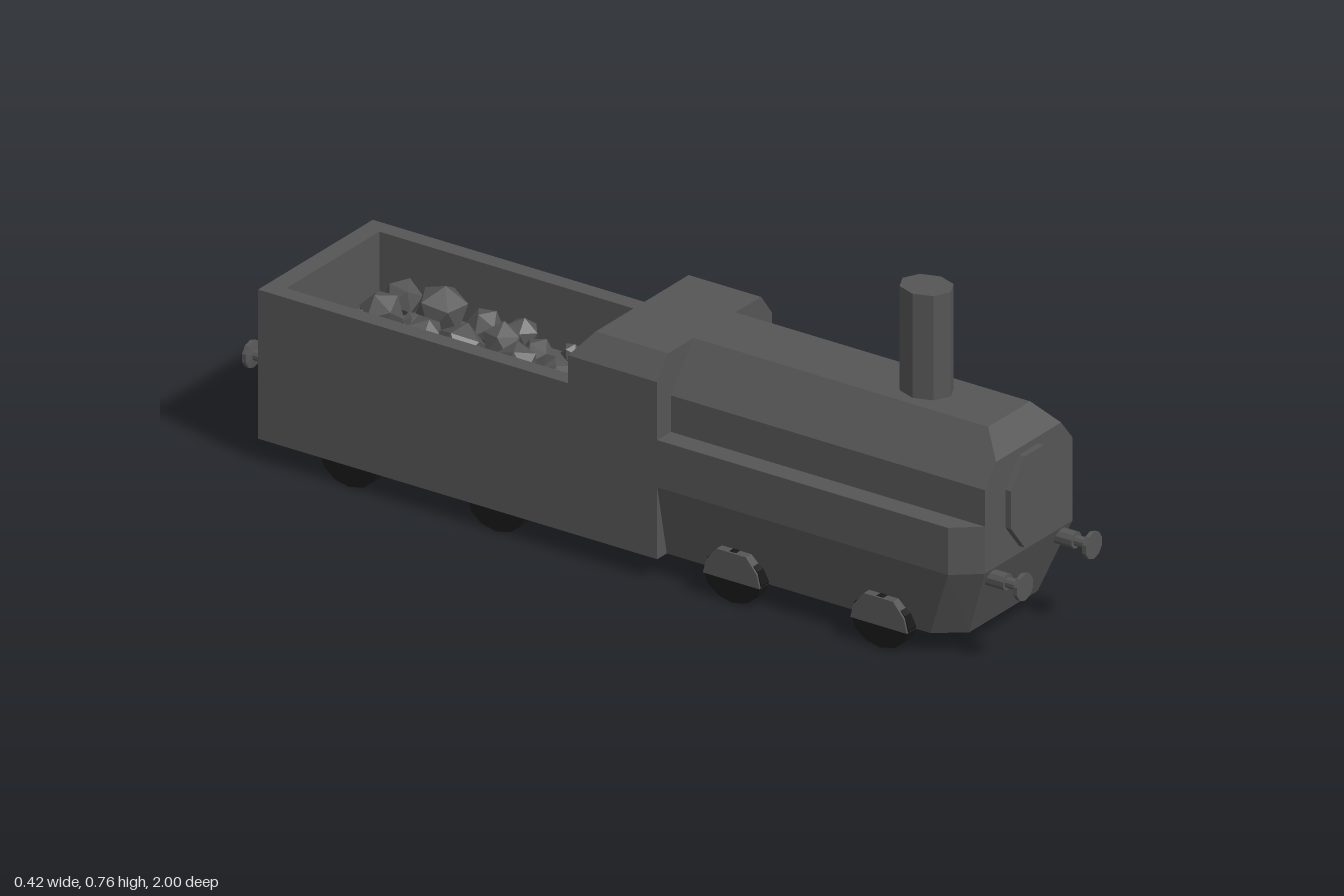
import * as THREE from 'three';
import { ConvexGeometry } from 'three/addons/geometries/ConvexGeometry.js';

const bodyMat = new THREE.MeshStandardMaterial({ color: 0x555555, flatShading: true });
const wheelMat = new THREE.MeshStandardMaterial({ color: 0x181818, flatShading: true });

function add(parent, name, geometry, x = 0, y = 0, z = 0, material = bodyMat) {
  const mesh = new THREE.Mesh(geometry, material);
  mesh.name = name;
  mesh.position.set(x, y, z);
  parent.add(mesh);
  return mesh;
}

// Faceted solid, symmetric in x, from its +x corners
function mirroredHull(corners) {
  const points = [];
  for (const [x, y, z] of corners) {
    points.push(new THREE.Vector3(x, y, z), new THREE.Vector3(-x, y, z));
  }
  return new ConvexGeometry(points);
}

// Box given by its minimum and maximum corners
function span(parent, name, [x0, y0, z0], [x1, y1, z1]) {
  return add(parent, name, new THREE.BoxGeometry(x1 - x0, y1 - y0, z1 - z0),
    (x0 + x1) / 2, (y0 + y1) / 2, (z0 + z1) / 2);
}

// Buffer: stepped shaft with a round plate at its outer end
function buffer(parent, name, x, dir) {
  const profile = [[0, -0.03], [0.019, -0.03], [0.019, 0.035], [0.012, 0.035], [0.012, 0.066],
    [0.031, 0.07], [0.031, 0.08], [0, 0.08]].map(([r, y]) => new THREE.Vector2(r, y));
  const mesh = add(parent, name, new THREE.LatheGeometry(profile, 10), x, 0.197, 0.92 * dir);
  mesh.rotation.x = dir * Math.PI / 2;
}

export function createModel() {
  const model = new THREE.Group();
  model.name = 'steamLocomotive';

  // Engine underbody: upright sides, tapering below, with cut front corners
  add(model, 'engineBase', mirroredHull([
    [0.21, 0.33, 0.11], [0.21, 0.33, 0.86], [0.16, 0.33, 0.92],
    [0.21, 0.22, 0.11], [0.21, 0.22, 0.86], [0.16, 0.22, 0.92],
    [0.175, 0.052, 0.11], [0.175, 0.052, 0.79], [0.125, 0.052, 0.855],
  ]));

  // Boiler with a sloped upper nose
  add(model, 'boiler', mirroredHull([
    [0.077, 0.517, 0.1], [0.16, 0.415, 0.1], [0.16, 0.32, 0.1],
    [0.077, 0.517, 0.87], [0.119, 0.465, 0.92], [0.16, 0.415, 0.92], [0.16, 0.32, 0.92],
  ]));

  // Octagonal boiler door
  const door = add(model, 'boilerDoor', new THREE.CylinderGeometry(1, 1, 0.03, 8), 0, 0.343, 0.92);
  door.geometry.rotateY(Math.PI / 8).rotateX(Math.PI / 2).scale(0.092, 0.115, 1);

  // Chimney
  add(model, 'chimney', new THREE.CylinderGeometry(1, 1, 0.26, 8), 0, 0.63, 0.657)
    .geometry.scale(0.052, 1, 0.062);

  // Cab with a roof bevelled at the sides and back
  add(model, 'cab', mirroredHull([
    [0.21, 0.052, 0.11], [0.21, 0.465, 0.11], [0.17, 0.517, 0.11],
    [0.21, 0.052, -0.12], [0.21, 0.465, -0.12], [0.17, 0.517, -0.077],
  ]));

  // Open tender
  const tender = new THREE.Group();
  tender.name = 'tender';
  model.add(tender);
  span(tender, 'tenderFloor', [-0.21, 0.052, -0.92], [0.21, 0.25, -0.12]);
  for (const s of [-1, 1]) {
    span(tender, 'tenderSide', [s > 0 ? 0.17 : -0.21, 0.25, -0.92], [s > 0 ? 0.21 : -0.17, 0.4, -0.12]);
  }
  span(tender, 'tenderBack', [-0.17, 0.25, -0.92], [0.17, 0.4, -0.875]);

  // Coal lumps: x, z, radius
  const lumps = [
    [-0.04, -0.52, 0.06], [-0.07, -0.76, 0.047], [0.03, -0.77, 0.05], [0.12, -0.78, 0.045],
    [0.1, -0.665, 0.06], [0, -0.64, 0.044], [-0.125, -0.595, 0.042], [-0.12, -0.5, 0.04],
    [0.06, -0.48, 0.047], [0.125, -0.475, 0.04], [-0.115, -0.41, 0.043], [-0.015, -0.39, 0.05],
    [0.08, -0.27, 0.044], [-0.085, -0.3, 0.04], [-0.075, -0.195, 0.047], [0, -0.21, 0.042],
    [0.11, -0.56, 0.042], [-0.135, -0.34, 0.032], [0.135, -0.355, 0.023], [0.14, -0.31, 0.023],
    [0.14, -0.205, 0.026], [0.1, -0.18, 0.024], [-0.085, -0.665, 0.033], [0.02, -0.575, 0.03],
    [0.06, -0.39, 0.04], [0.015, -0.31, 0.034], [-0.01, -0.81, 0.03], [0.055, -0.71, 0.026],
  ];
  const coal = new THREE.Group();
  coal.name = 'coal';
  tender.add(coal);
  lumps.forEach(([x, z, r], i) => {
    const lump = add(coal, 'coalLump', new THREE.IcosahedronGeometry(r, 0), x, 0.255 + r * 0.8, z);
    lump.rotation.set(i * 1.3, i * 2.1, i * 0.7);
  });

  // Wheels, each under a half-round axle cover
  const wheel = new THREE.CylinderGeometry(1, 1, 0.028, 12)
    .rotateZ(Math.PI / 2).scale(1, 0.06, 0.075);
  const coverShape = new THREE.Shape([
    [-0.073, 0], [0.073, 0], [0.065, 0.032], [0.038, 0.065], [-0.038, 0.065], [-0.065, 0.032],
  ].map(([z, y]) => new THREE.Vector2(z, y)));
  const cover = new THREE.ExtrudeGeometry(coverShape, { depth: 0.04, bevelEnabled: false })
    .translate(0, 0, -0.02).rotateY(Math.PI / 2);
  for (const s of [-1, 1]) {
    const side = s > 0 ? 'left' : 'right';
    for (const z of [0.68, 0.3, -0.31, -0.69]) {
      add(model, side + 'Wheel', wheel, s * 0.19, 0.06, z, wheelMat);
      if (z > 0) add(model, side + 'WheelCover', cover, s * 0.189, 0.053, z);
    }
    buffer(model, side + 'FrontBuffer', s * 0.126, 1);
    buffer(model, side + 'RearBuffer', s * 0.126, -1);
  }
  return model;
}
